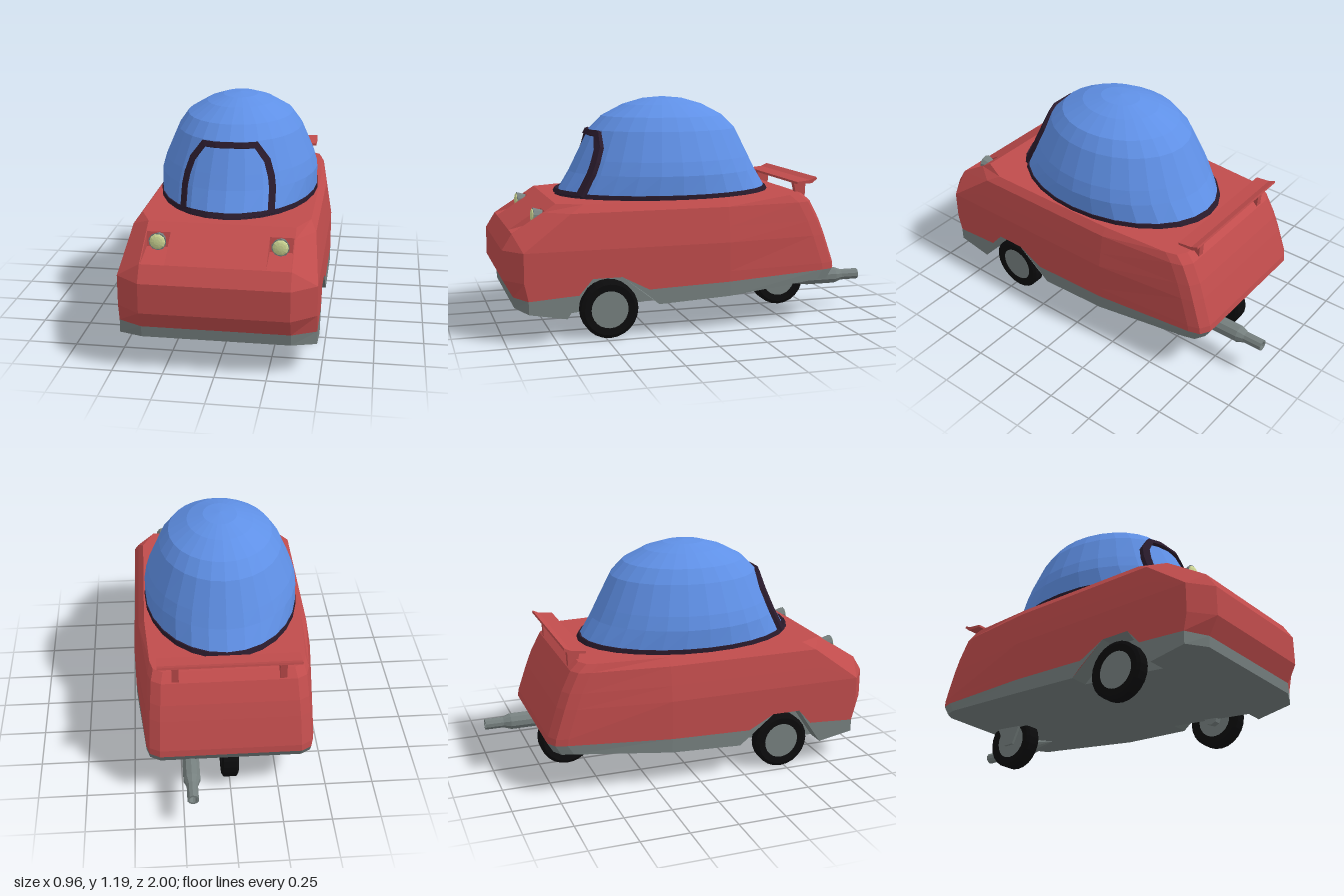
import * as THREE from 'three';

const mat = (name, color) => Object.assign(new THREE.MeshStandardMaterial({ color, side: THREE.DoubleSide, flatShading: true }), { name });

export function createModel() {
  const car = new THREE.Group();
  car.name = 'bubbleCar';
  const red = mat('red paint', 0xc04c4c), grey = mat('grey metal', 0x76807f), black = mat('black rubber', 0x0c0c0d);
  const blue = mat('blue glass', 0x5f90e6), trim = mat('dark trim', 0x2a1b2c), lens = mat('yellow lens', 0xd3dc98);

  const add = (name, geo, material, x = 0, y = 0, z = 0) => {
    const m = new THREE.Mesh(geo, material);
    m.name = name;
    m.position.set(x, y, z);
    car.add(m);
    return m;
  };
  // collects quads into one flat-sided surface
  const surface = () => {
    const pos = [];
    return {
      quad(a, b, c, d) { pos.push(...a, ...b, ...c, ...a, ...c, ...d); },
      geo() {
        const g = new THREE.BufferGeometry();
        g.setAttribute('position', new THREE.Float32BufferAttribute(pos, 3));
        g.computeVertexNormals();
        return g;
      }
    };
  };
  const flip = ([x, y, z]) => [-x, y, z];
  // side profile given as [z, y], extruded across x
  const sideExtrude = (profile, width) => {
    const g = new THREE.ExtrudeGeometry(new THREE.Shape(profile.map(([z, y]) => new THREE.Vector2(-z, y))), { depth: width, bevelEnabled: false });
    return g.translate(0, 0, -width / 2).rotateY(Math.PI / 2);
  };

  // body columns, each running from sill to roof edge
  const side = (z, b, r) => [[.48, b, z], [.48, r, z], [.48, Math.max(.31, r + .005), z], [.48, .46, z],
    [.467, .54, z], [.45, .64, Math.min(z, .64)], [.42, .68, Math.min(z, .59)]];
  const rearY = [.225, .275, .31, .46, .54, .64, .68];
  const rearZ = [-.75, -.78, -.775, -.725, -.695, -.645, -.6];
  const rearW = [1, 1, 1, .985, .97, .95, .92];
  const rear = (x, dz) => rearY.map((y, i) => [x * rearW[i], y, rearZ[i] + dz]);
  const half = [
    [[.36, .165, .945], [.36, .22, .95], [.36, .31, 1], [.36, .46, 1], [.36, .54, .95], [.36, .64, .793], [.36, .68, .73]],
    [[.48, .155, .89], [.48, .22, .89], [.48, .31, .91], [.48, .46, .91], [.48, .46, .91], [.45, .64, .67], [.42, .68, .6]],
    side(.7, .12, .232), side(.64, .21, .235), side(.57, .315, .315), side(.42, .315, .315),
    side(.28, .208, .242), side(.23, .163, .244), side(-.15, .18, .255),
    rear(.43, .09), rear(.412, .03), rear(.36, 0)
  ];
  const loop = [...half, ...half.map(c => c.map(flip)).reverse()];
  const shell = surface(), sill = surface();
  loop.forEach((c, i) => {
    const n = loop[(i + 1) % loop.length], front = i === loop.length - 1;
    for (let k = 0; k < 6; k++) {
      if (front && k > 3) continue;
      (k ? shell : sill).quad(c[k], n[k], n[k + 1], c[k + 1]);
    }
    shell.quad([0, .68, 0], c[6], n[6], [0, .68, 0]);
  });
  // sloping hood with a notch for each headlight
  const plain = [[.54, .95], [.57, .903], [.645, .785], [.68, .73]];
  const notch = [[.54, .95], [.575, .8], [.645, .785], [.68, .73]];
  const hoodX = [-.36, -.355, -.24, .24, .355, .36];
  for (let i = 0; i < 5; i++) {
    const p = i % 2 ? notch : plain, a = hoodX[i], b = hoodX[i + 1];
    for (let k = 0; k < 3; k++) shell.quad([a, ...p[k]], [b, ...p[k]], [b, ...p[k + 1]], [a, ...p[k + 1]]);
    if (i % 2) for (const x of [a, b]) shell.quad([x, ...p[0]], [x, ...p[1]], [x, ...p[2]], [x, ...p[0]]);
  }
  add('bodyShell', shell.geo(), red);
  add('sill', sill.geo(), grey);

  // floor pan, narrowed between the front wheel wells
  const floor = surface();
  const pan = [[.36, .165, .945], [.48, .155, .89], [.48, .12, .7], [.38, .12, .7], [.38, .163, .23], [.48, .163, .23],
    [.48, .18, -.15], [.43, .225, -.66], [.412, .225, -.72], [.36, .225, -.75]];
  for (let i = 0; i < pan.length - 1; i++) floor.quad(flip(pan[i]), flip(pan[i + 1]), pan[i + 1], pan[i]);
  add('floorPan', floor.geo(), grey);

  // wheel wells
  const arch = [[.12, .7], [.315, .57], [.315, .42], [.163, .23]];
  for (const s of [1, -1]) {
    const well = surface(), at = (x, i) => [s * x, ...arch[i]];
    for (let i = 0; i < 3; i++) well.quad(at(.48, i), at(.48, i + 1), at(.38, i + 1), at(.38, i));
    well.quad(at(.38, 0), at(.38, 1), at(.38, 2), at(.38, 3));
    add('wheelWell', well.geo(), grey);
  }

  // wheels
  const tyreProfile = [[.095, -.033], [.13, -.037], [.147, -.028], [.147, .028], [.13, .037], [.095, .033]].map(p => new THREE.Vector2(...p));
  const wheel = (name, x, z, w) => {
    add(name + 'Tyre', new THREE.LatheGeometry(tyreProfile, 24).scale(1, w, 1).rotateZ(Math.PI / 2), black, x, .147, z);
    add(name + 'Hub', new THREE.CylinderGeometry(.097, .097, .056 * w, 24).rotateZ(Math.PI / 2), grey, x, .147, z);
  };
  for (const s of [1, -1]) {
    wheel('frontWheel', s * .427, .48, 1);
    add('axleStub', new THREE.CylinderGeometry(.04, .04, .05, 8).rotateZ(Math.PI / 2), grey, s * .385, .147, .48);
    add('rearFork', sideExtrude([[-.52, .22], [-.57, .12], [-.63, .12], [-.68, .23]], .015), grey, s * .05, 0, 0);
  }
  wheel('rearWheel', 0, -.6, 1.2);

  // bubble canopy: rings of [height, half width, half length]
  const rings = [[.68, .41, .585], [.8, .41, .51], [.87, .39, .475], [1.02, .325, .4], [1.09, .275, .33], [1.15, .175, .215], [1.18, .09, .11], [1.19, 0, 0]];
  const ringPoint = ([y, rx, rz], a) => [rx * Math.sin(a), y, .08 + rz * Math.cos(a)];
  const loft = (list, n) => {
    const s = surface();
    for (let k = 0; k < list.length - 1; k++) for (let i = 0; i < n; i++) {
      const a = i / n * Math.PI * 2, b = (i + 1) / n * Math.PI * 2;
      s.quad(ringPoint(list[k], a), ringPoint(list[k], b), ringPoint(list[k + 1], b), ringPoint(list[k + 1], a));
    }
    return s.geo();
  };
  add('canopy', loft(rings, 28), blue);
  add('canopyTrim', loft([[.68, .414, .592], [.703, .414, .58], [.703, .4, .55]], 28), trim);

  // windscreen frame laid over the canopy
  const onCanopy = ([x, y], lift) => {
    const k = Math.max(0, rings.findIndex(r => r[0] > y) - 1), [a, b] = [rings[k], rings[k + 1]];
    const t = (y - a[0]) / (b[0] - a[0]), rx = a[1] + (b[1] - a[1]) * t, rz = a[2] + (b[2] - a[2]) * t;
    return [x, y + lift * .4, .08 + rz * Math.sqrt(1 - (x / rx) ** 2) + lift];
  };
  const mirrorPath = p => [...p, ...p.map(([x, y]) => [-x, y]).reverse()];
  const outer = mirrorPath([[.235, .685], [.235, .8], [.225, .86], [.2, .935], [.138, 1.015], [.07, 1.015]]);
  const inner = mirrorPath([[.205, .705], [.205, .8], [.197, .85], [.175, .92], [.125, .988], [.065, .988]]);
  // sill strip follows the curve of the glass
  for (const x of [-.17, -.085, 0, .085, .17]) { outer.push([x, .685]); inner.push([x, .705]); }
  const frame = surface();
  outer.forEach((o, i) => {
    const j = (i + 1) % outer.length;
    const pts = [[outer, -.015], [outer, .018], [inner, .018], [inner, -.015]].map(([p, l]) => [onCanopy(p[i], l), onCanopy(p[j], l)]);
    for (let k = 0; k < 3; k++) frame.quad(pts[k][0], pts[k][1], pts[k + 1][1], pts[k + 1][0]);
  });
  add('windscreenFrame', frame.geo(), trim);

  // headlights
  for (const s of [1, -1]) {
    add('headlightCasing', new THREE.CylinderGeometry(.044, .03, .05, 10).rotateX(Math.PI / 2), grey, s * .295, .613, .81);
    add('headlightLens', new THREE.SphereGeometry(.039, 10, 4, 0, Math.PI * 2, 0, Math.PI / 2).scale(1, .3, 1).rotateX(Math.PI / 2), lens, s * .295, .613, .8355);
  }

  // rear spoiler
  add('spoilerBlade', sideExtrude([[-.565, .73], [-.565, .742], [-.64, .75], [-.675, .766], [-.678, .755], [-.65, .733]], .72), red);
  for (const s of [1, -1]) add('spoilerStrut', sideExtrude([[-.575, .735], [-.645, .737], [-.638, .6], [-.605, .6]], .035), red, s * .27);

  // exhaust pipe, open at the tail
  const pipe = [[.001, -.5], [.03, -.6], [.045, -.7], [.045, -.86], [.03, -.9], [.03, -1], [.02, -1], [.02, -.94], [.001, -.94]];
  add('exhaust', new THREE.LatheGeometry(pipe.map(([r, z]) => new THREE.Vector2(r, z)), 10).rotateX(Math.PI / 2), grey, .205, .188, 0);
  return car;
}
